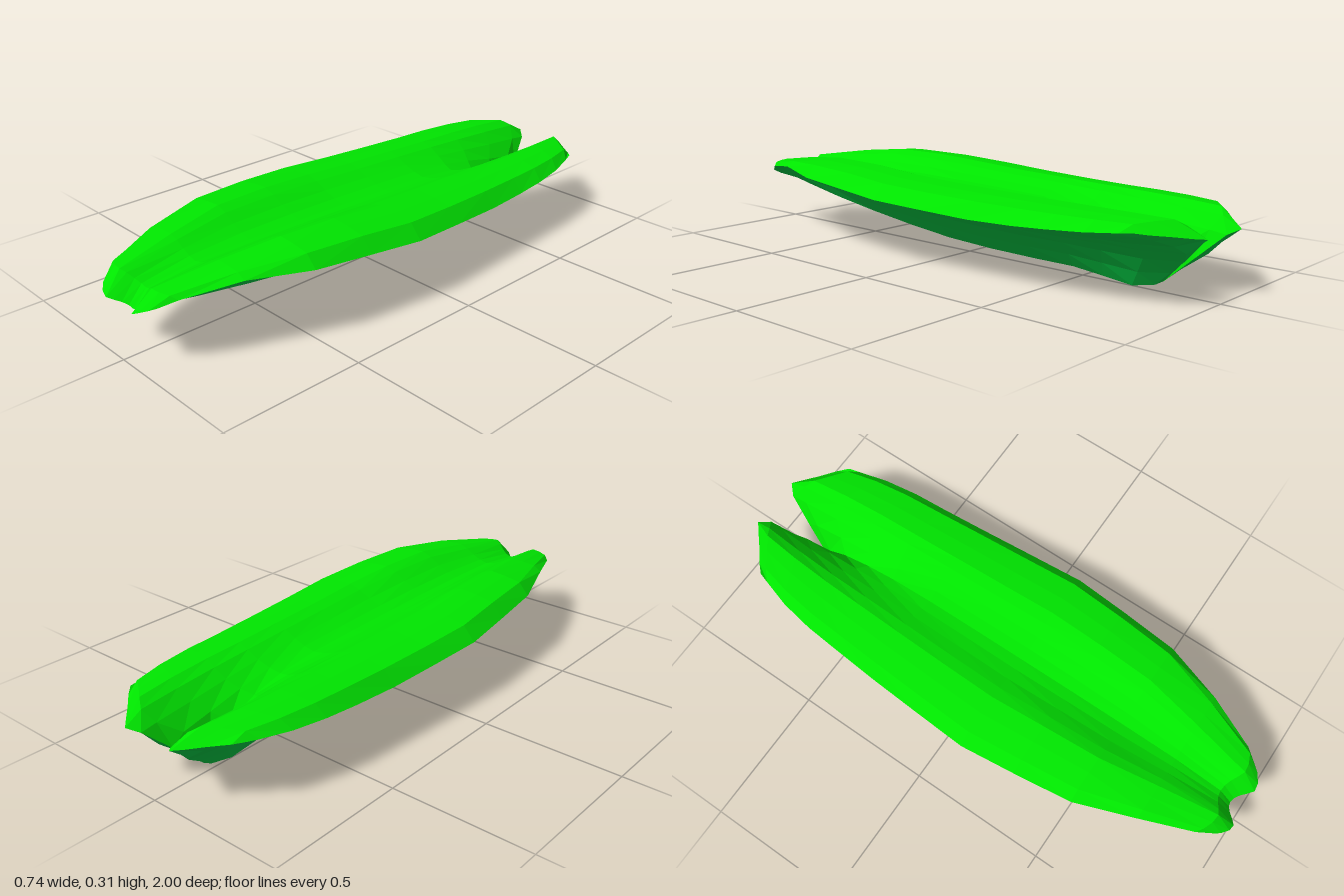
import * as THREE from 'three';

// Half-width columns, from the centre line (0) to the rim (1)
const U = [0, 0.12, 0.25, 0.38, 0.5, 0.68, 0.88, 1];
// Share of the climb from valley to crest, then the drop from crest to rim
const RISE = [0, 0.14, 0.42, 0.78, 1, 1, 1, 1];
const DROP = [0, 0, 0, 0, 0, 0.08, 0.25, 1];
// Share of the climb from keel to rim on the underside
const HULL = [0, 0.26, 0.51, 0.67, 0.78, 0.875, 0.94, 1];
// How far the two lobes reach past the centre line at each end
const FRONT_BEND = [0, 0.003, 0.015, 0.033, 0.047, 0.042, 0.022, 0];
const BACK_BEND = [0, -0.085, -0.17, -0.2, -0.172, -0.128, -0.083, -0.05];
// Heights of the two closing edges
const FRONT_EDGE = [0.157, 0.163, 0.171, 0.179, 0.186, 0.197, 0.208, 0.215];
const BACK_EDGE = [0.035, 0.115, 0.195, 0.212, 0.215, 0.222, 0.229, 0.235];

// Cross-sections: z, half width, rim, valley, crest, keel, front bend, back bend
const STATIONS = [
  [0.95, 0.14, 0, 0, 0, 0, 1, 0],
  [0.9, 0.174, 0.236, 0.21, 0.253, 0.144, 0.7, 0],
  [0.72, 0.25, 0.262, 0.235, 0.285, 0.112, 0, 0],
  [0.51, 0.325, 0.25, 0.239, 0.307, 0.081, 0, 0],
  [0.3, 0.35, 0.238, 0.239, 0.305, 0.055, 0, 0],
  [0.1, 0.37, 0.225, 0.236, 0.293, 0.035, 0, 0],
  [-0.1, 0.358, 0.217, 0.232, 0.284, 0.026, 0, 0],
  [-0.3, 0.345, 0.21, 0.225, 0.279, 0.023, 0, 0],
  [-0.46, 0.332, 0.212, 0.207, 0.275, 0.023, 0, 0.1],
  [-0.58, 0.322, 0.218, 0.178, 0.273, 0.012, 0, 0.25],
  [-0.69, 0.302, 0.224, 0.135, 0.27, 0, 0, 0.5],
  [-0.775, 0.272, 0.231, 0.075, 0.265, 0.018, 0, 0.82],
  [-0.805, 0.26, 0, 0, 0, 0, 0, 1],
];

function surfacePoint(row, col, upper) {
  const [z, width, rim, valley, crest, keel, front, back] = STATIONS[row];
  const k = Math.abs(col);
  let y;
  if (row === 0) y = FRONT_EDGE[k];
  else if (row === STATIONS.length - 1) y = BACK_EDGE[k];
  else if (upper) {
    // The valley walls steepen into a narrow cleft towards the back
    const rise = Math.pow(RISE[k], 1 - 0.65 * back);
    y = valley + (crest - valley) * rise - (crest - rim) * DROP[k];
  } else y = keel + (rim - keel) * HULL[k];
  return [Math.sign(col) * U[k] * width, y, z + front * FRONT_BEND[k] + back * BACK_BEND[k]];
}

// Faceted skin lofted through the cross-sections
function buildSkin(upper) {
  const positions = [];
  const last = U.length - 1;
  for (let r = 0; r < STATIONS.length - 1; r++) {
    for (let c = -last; c < last; c++) {
      const a = surfacePoint(r, c, upper);
      const b = surfacePoint(r, c + 1, upper);
      const d = surfacePoint(r + 1, c, upper);
      const e = surfacePoint(r + 1, c + 1, upper);
      // Mirror the diagonals on either side of the centre line
      let tris = c < 0 ? [a, b, e, a, e, d] : [a, b, d, b, e, d];
      if (!upper) tris = tris.reverse();
      positions.push(...tris.flat());
    }
  }
  const geometry = new THREE.BufferGeometry();
  geometry.setAttribute('position', new THREE.Float32BufferAttribute(positions, 3));
  geometry.computeVertexNormals();
  return geometry;
}

export function createModel() {
  const brightGreen = new THREE.MeshStandardMaterial({ color: 0x00e600 });
  brightGreen.name = 'bright green';
  const deepGreen = new THREE.MeshStandardMaterial({ color: 0x00d848 });
  deepGreen.name = 'deep green';

  const group = new THREE.Group();
  group.name = 'leaf';

  const top = new THREE.Mesh(buildSkin(true), brightGreen);
  top.name = 'leafTop';
  const underside = new THREE.Mesh(buildSkin(false), deepGreen);
  underside.name = 'leafUnderside';
  group.add(top, underside);
  return group;
}
